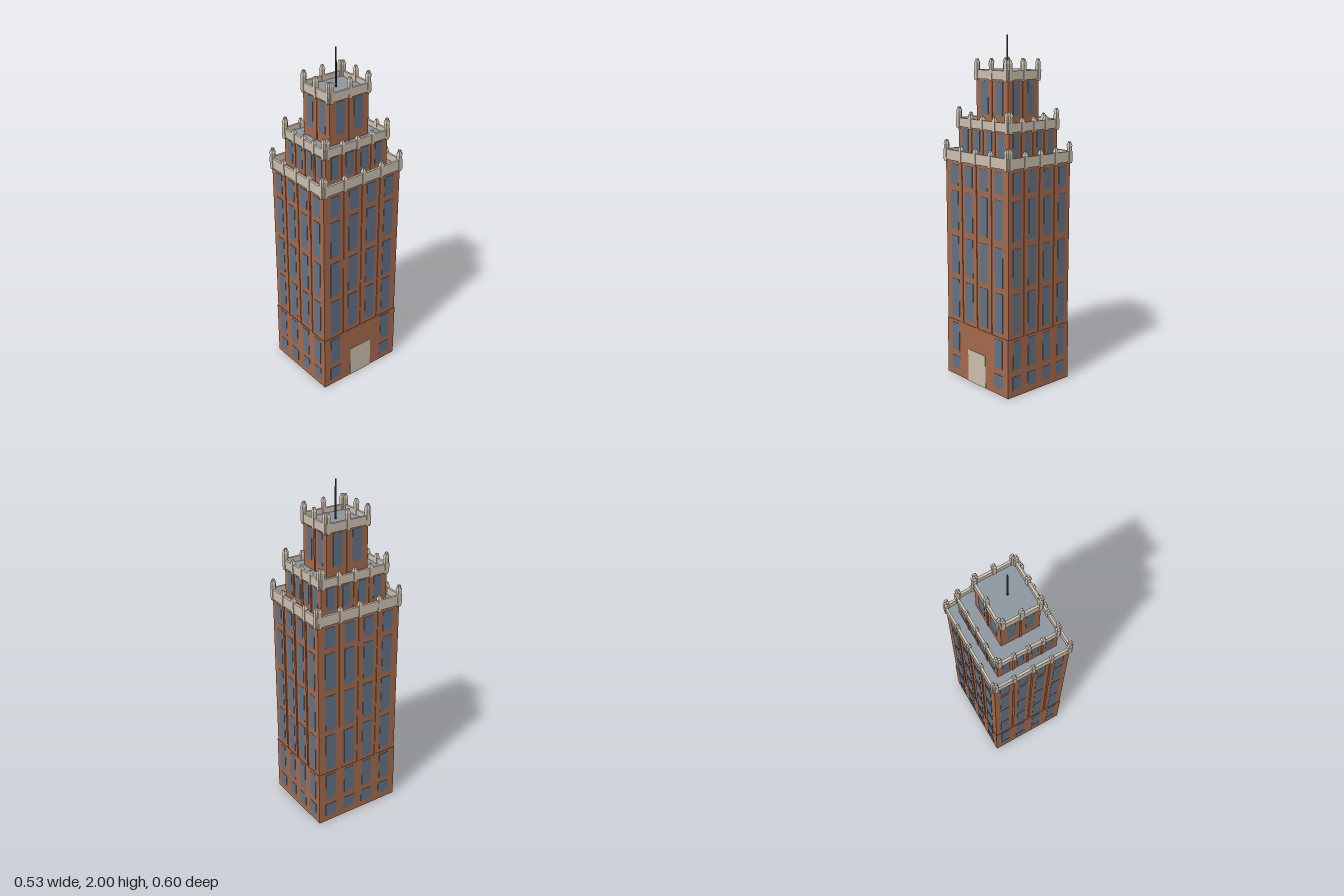
import * as THREE from 'three';

const mat = (name, color) => {
  const m = new THREE.MeshStandardMaterial({ color });
  m.name = name;
  return m;
};

export function createModel() {
  const brick = mat('brick', 0xa3694a);
  const stone = mat('stone', 0xcabfae);
  const glass = mat('glass', 0x5f7186);
  const roofGrey = mat('roof grey', 0x8c969f);
  const iron = mat('iron', 0x3f454b);

  const tower = new THREE.Group();
  tower.name = 'tower';

  const add = (parent, name, geo, material, x = 0, y = 0, z = 0) => {
    const m = new THREE.Mesh(geo, material);
    m.name = name;
    m.position.set(x, y, z);
    parent.add(m);
    return m;
  };
  const box = (parent, name, w, h, d, material, x, y, z) =>
    add(parent, name, new THREE.BoxGeometry(w, h, d), material, x, y, z);

  // Hollow rectangular wall ring with half sizes hx, hz
  const frame = (parent, name, hx, hz, t, y0, y1, material) => {
    const rect = (P, a, b) => new P([[-a, -b], [a, -b], [a, b], [-a, b]].map(p => new THREE.Vector2(...p)));
    const shape = rect(THREE.Shape, hx, hz);
    shape.holes.push(rect(THREE.Path, hx - t, hz - t));
    const geo = new THREE.ExtrudeGeometry(shape, { depth: y1 - y0, bevelEnabled: false });
    geo.rotateX(-Math.PI / 2);
    add(parent, name, geo, material, 0, y0, 0);
  };

  // Square post with a flared collar and a tapered cap
  const pinnacle = (parent, x, z, y0, y1) => {
    const g = new THREE.Group();
    g.name = 'pinnacle';
    g.position.set(x, 0, z);
    parent.add(g);
    const shaftTop = y1 - 0.022;
    box(g, 'post', 0.021, shaftTop - y0, 0.021, stone, 0, (y0 + shaftTop) / 2, 0);
    const taper = (name, top, bottom, h, y) => {
      const geo = new THREE.CylinderGeometry(top * Math.SQRT1_2, bottom * Math.SQRT1_2, h, 4);
      geo.rotateY(Math.PI / 4);
      add(g, name, geo.toNonIndexed(), stone, 0, y, 0).geometry.computeVertexNormals();
    };
    taper('shoulder', 0.016, 0.025, 0.01, shaftTop + 0.005);
    taper('cap', 0.012, 0.016, 0.012, y1 - 0.006);
  };

  // Each tier: ring centre line, wall heights, parapet, pinnacles, window columns and rows
  const tiers = [
    { name: 'mainTier', hx: 0.236, hz: 0.273, y0: 0, wall: 1.3, top: 1.36, mid: 1.39, corner: 1.412,
      n: 4, px: 0.114, pz: 0.128, wx: 0.055, wz: 0.065, base: 0.345,
      rows: [[0.04, 0.12], [0.16, 0.33], [0.37, 0.6], [0.635, 0.86], [0.9, 1.125], [1.16, 1.28]] },
    { name: 'middleTier', hx: 0.184, hz: 0.218, y0: 1.32, wall: 1.49, top: 1.54, mid: 1.565, corner: 1.6,
      n: 4, px: 0.087, pz: 0.102, wx: 0.04, wz: 0.05, rows: [[1.35, 1.48]] },
    { name: 'topTier', hx: 0.117, hz: 0.136, y0: 1.51, wall: 1.76, top: 1.81, mid: 1.87, corner: 1.87,
      n: 2, px: 0.106, pz: 0.124, wx: 0.046, wz: 0.06, rows: [[1.565, 1.75]] },
  ];

  for (const t of tiers) {
    const tier = new THREE.Group();
    tier.name = t.name;
    tower.add(tier);
    const wx = t.hx - 0.003, wz = t.hz - 0.003;

    frame(tier, 'walls', wx, wz, 0.008, t.y0, t.wall + 0.01, brick);
    if (t.base) frame(tier, 'baseCourse', wx + 0.003, wz + 0.003, 0.008, 0, t.base, brick);
    frame(tier, 'parapet', t.hx + 0.007, t.hz + 0.007, 0.014, t.wall, t.top, stone);
    box(tier, 'roof', 2 * wx, 0.01, 2 * wz, roofGrey, 0, t.wall + 0.015, 0);

    // Four sides: front, left, back, right
    for (let s = 0; s < 4; s++) {
      const side = new THREE.Group();
      side.name = 'facade';
      side.rotation.y = s * Math.PI / 2;
      tier.add(side);
      const along = s % 2 === 1;
      const out = along ? wx : wz;
      const half = along ? t.hz : t.hx;
      const ring = along ? t.hx : t.hz;
      const pitch = along ? t.pz : t.px;
      const w = along ? t.wz : t.wx;
      const doorSide = t.base && s === 1;

      for (let i = 0; i < t.n; i++) {
        const x = (i - (t.n - 1) / 2) * pitch;
        for (const [a, b] of t.rows) {
          const low = t.base && a < t.base;
          if (doorSide && low && (i === 1 || i === 2)) continue;
          const ww = a < 0.1 ? w * 1.15 : w;
          box(side, 'window', ww, b - a, 0.003, glass, x, (a + b) / 2, out + (low ? 0.0035 : 0.0005));
        }
        // Slender pilaster and pinnacle between window columns
        if (i > 0) {
          const px = x - pitch / 2;
          const y0 = t.base ? t.base : t.y0;
          box(side, 'pilaster', 0.012, t.wall - y0, 0.008, brick, px, (t.wall + y0) / 2, out);
          pinnacle(side, px, ring, t.wall - 0.008, t.mid);
        }
      }
      for (const e of [-1, 1]) pinnacle(side, e * (half - 0.012), ring, t.wall - 0.008, t.corner);
      if (doorSide) box(side, 'door', 0.155, 0.197, 0.004, stone, 0, 0.0985, out + 0.004);
    }
  }

  // Mast on the top roof
  add(tower, 'mast', new THREE.CylinderGeometry(0.004, 0.005, 0.22, 8), iron, 0, 1.89, 0);

  // The whole tower stands slightly turned
  tower.rotation.y = 0.055;
  const model = new THREE.Group();
  model.name = 'skyscraper';
  model.add(tower);
  return model;
}
